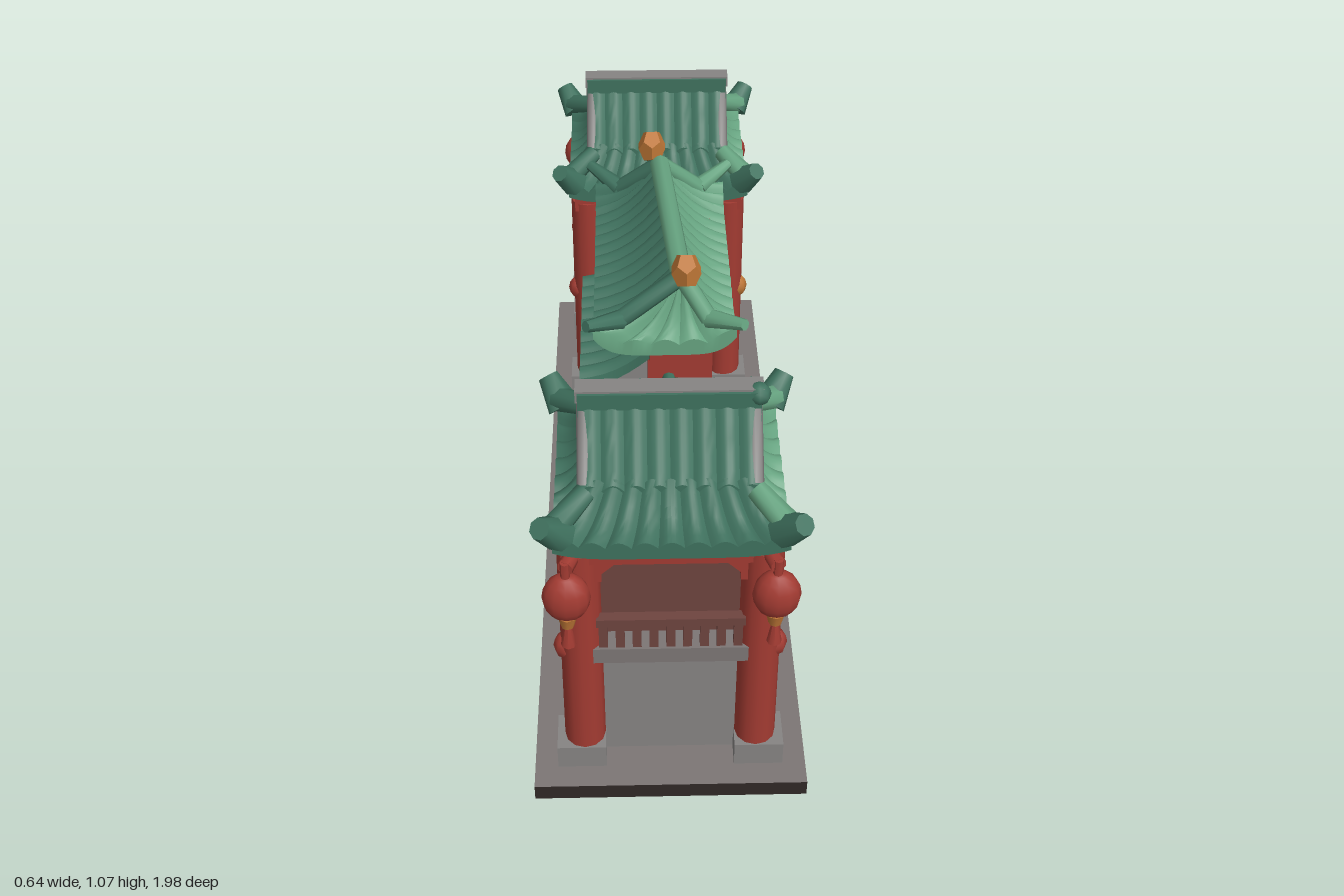
import * as THREE from 'three';
import { toCreasedNormals } from 'three/addons/utils/BufferGeometryUtils.js';

const mat = (name, color) => {
  const m = new THREE.MeshStandardMaterial({ color, side: THREE.DoubleSide });
  m.name = name;
  return m;
};
const V = (x, y, z) => new THREE.Vector3(x, y, z);

export function createModel() {
  const red = mat('lacquer red', 0xa23b32), brown = mat('shaded brown', 0x6e443f);
  const gold = mat('gold', 0xbd7636), green = mat('tile green', 0x3f715e);
  const jade = mat('light tile green', 0x66a380), stone = mat('stone grey', 0x868483);
  const paving = mat('paving grey', 0x7c7675);
  const dark = mat('dark base', 0x302826), umber = mat('umber base edge', 0x4c3633);
  const model = new THREE.Group();

  const add = (parent, name, geo, m, x = 0, y = 0, z = 0) => {
    const mesh = new THREE.Mesh(geo, m);
    mesh.name = name;
    mesh.position.set(x, y, z);
    parent.add(mesh);
    return mesh;
  };
  const group = (parent, name, x = 0, y = 0, z = 0) => {
    const g = new THREE.Group();
    g.name = name;
    g.position.set(x, y, z);
    parent.add(g);
    return g;
  };
  // box from its lower face y0 to its upper face y1
  const box = (p, name, m, x, y0, y1, z, w, d) =>
    add(p, name, new THREE.BoxGeometry(w, y1 - y0, d), m, x, (y0 + y1) / 2, z);
  // round bar between two points
  const bar = (p, name, m, a, b, r0, r1 = r0) => {
    const dir = b.clone().sub(a), mid = a.clone().add(b).multiplyScalar(0.5);
    const geo = toCreasedNormals(new THREE.CylinderGeometry(r1, r0, dir.length(), 8), 1);
    const mesh = add(p, name, geo, m, mid.x, mid.y, mid.z);
    mesh.quaternion.setFromUnitVectors(V(0, 1, 0), dir.normalize());
    return mesh;
  };

  // ribbed, sagging roof slope: a-b is the upper edge, c-d the eave below it
  const slope = (p, name, m, a, b, c, d, ribs, { sag = 0.02, lift = 0, t = 0.03 } = {}) => {
    const nu = ribs * 6, nv = 6, pos = [], idx = [];
    const rows = 2 * (nv + 1);
    for (let j = 0; j < rows; j++) {
      const under = j > nv, v = (under ? rows - 1 - j : j) / nv;
      for (let i = 0; i <= nu; i++) {
        const u = i / nu;
        const q = a.clone().lerp(b, u).lerp(c.clone().lerp(d, u), v);
        q.y += -sag * Math.sin(Math.PI * v) + lift * v * v * Math.abs(2 * u - 1) ** 5;
        q.y += under ? -t : 0.016 * Math.abs(Math.sin(Math.PI * ribs * u));
        pos.push(q.x, q.y, q.z);
        if (i < nu && j < rows - 1) {
          const k = j * (nu + 1) + i, n = k + nu + 1;
          idx.push(k, n, k + 1, k + 1, n, n + 1);
        }
      }
    }
    const geo = new THREE.BufferGeometry();
    geo.setAttribute('position', new THREE.Float32BufferAttribute(pos, 3));
    geo.setIndex(idx);
    return add(p, name, toCreasedNormals(geo, 0.7), m);
  };

  // upright panel standing on y = 0 with a round or chamfered opening
  const archPanel = (w, h, ow, oh, depth, round) => {
    const s = new THREE.Shape(), o = ow / 2, c = round ? o : Math.min(0.05, oh * 0.6);
    s.moveTo(-w / 2, 0).lineTo(-o, 0).lineTo(-o, oh - c);
    if (round) s.absarc(0, oh - c, o, Math.PI, 0, true);
    else s.lineTo(-o + c, oh).lineTo(o - c, oh).lineTo(o, oh - c);
    s.lineTo(o, 0).lineTo(w / 2, 0).lineTo(w / 2, h).lineTo(-w / 2, h).closePath();
    return new THREE.ExtrudeGeometry(s, { depth, bevelEnabled: false, curveSegments: 8 })
      .translate(0, 0, -depth / 2);
  };

  const lantern = (p, x, y, z, r, rz) => {
    const g = group(p, 'lantern', x, y, z);
    add(g, 'lanternBody', new THREE.SphereGeometry(r, 12, 8), red).scale.set(1, 1.2, rz / r);
    bar(g, 'lanternCord', red, V(0, r, 0), V(0, r * 1.9, 0), r * 0.2);
    bar(g, 'lanternCap', gold, V(0, -r * 1.65, 0), V(0, -r * 1.05, 0), r * 0.28, r * 0.42);
    bar(g, 'tassel', red, V(0, -r * 2.75, 0), V(0, -r * 1.65, 0), r * 0.32, r * 0.14);
  };

  // ground slab, material order +x -x +y -y +z -z
  add(model, 'baseSlab', new THREE.BoxGeometry(0.64, 0.043, 1.97),
    [paving, umber, paving, dark, dark, umber], 0, 0.0215, 0);

  // railing of balusters along local x
  const railing = (p, w, n, m) => {
    box(p, 'handrail', m, 0, 0.5, 0.522, 0, w, 0.025);
    for (let i = 0; i < n; i++)
      box(p, 'baluster', m, (i / (n - 1) - 0.5) * (w - 0.03), 0.43, 0.5, 0, 0.02, 0.018);
  };

  const tower = (s) => {
    const t = group(model, s > 0 ? 'frontTower' : 'backTower', 0, 0, s * 0.71);
    box(t, 'core', brown, 0, 0.043, 0.74, 0, 0.3, 0.26);
    box(t, 'eaveBeam', red, 0, 0.695, 0.75, 0, 0.47, 0.41);
    for (const x of [-0.2, 0.2]) for (const z of [-0.167, 0.167]) {
      box(t, 'columnFoot', stone, x * 1.04, 0.043, 0.11, z, 0.115, 0.1);
      add(t, 'column', new THREE.CylinderGeometry(0.046, 0.048, 0.62, 12), red, x, 0.41, z);
      const inner = x > 0 && z * s < 0;
      add(t, 'columnKnob', new THREE.SphereGeometry(0.03, 8, 6), inner ? gold : red, x * 1.17, 0.41, z)
        .scale.y = 1.2;
    }
    // front and back faces
    for (const k of [-1, 1]) {
      const f = group(t, 'endFace', 0, 0, k * 0.15);
      box(f, 'stoneWall', stone, 0, 0.043, 0.39, -k * 0.005, 0.34, 0.03);
      box(f, 'upperWall', brown, 0, 0.43, 0.7, -k * 0.01, 0.36, 0.02);
      box(f, 'ledge', paving, 0, 0.388, 0.432, k * 0.025, 0.36, 0.06);
      const r = group(f, 'railing', 0, 0, k * 0.04);
      railing(r, 0.33, 9, brown);
      add(f, 'spandrel', archPanel(0.33, 0.1, 0.3, 0.055, 0.04, false), red, 0, 0.64, k * 0.03);
    }
    // long faces with arch, balcony and lattice window
    for (const k of [-1, 1]) {
      const f = group(t, 'sideFace', k * 0.18);
      f.rotation.y = k * Math.PI / 2;
      add(f, 'stoneArch', archPanel(0.28, 0.35, 0.21, 0.31, 0.06, true), stone, 0, 0.043, 0);
      box(f, 'ledge', paving, 0, 0.388, 0.432, 0.03, 0.36, 0.08);
      const r = group(f, 'railing', 0, 0, 0.05);
      railing(r, 0.26, 6, k > 0 ? gold : brown);
      add(f, 'windowFrame', archPanel(0.26, 0.27, 0.17, 0.23, 0.05, false),
        k > 0 ? gold : red, 0, 0.432, -0.005);
      box(f, 'windowBacking', brown, 0, 0.432, 0.7, -0.025, 0.25, 0.02);
      if (k < 0) box(f, 'archInfill', stone, 0, 0.043, 0.36, -0.02, 0.22, 0.02);
      for (const x of [-0.072, -0.024, 0.024, 0.072])
        box(f, 'latticeBar', red, x, 0.45, 0.655, -0.004, 0.023, 0.02);
      for (const y of [0.535, 0.58, 0.625])
        box(f, 'latticeRail', red, 0, y, y + 0.02, -0.002, 0.165, 0.02);
    }
    // ribbed skirt roof and steep gabled roof
    const ix = 0.175, iz = 0.13, ox = 0.25, oz = 0.235, yi = 0.855, yo = 0.77;
    for (const k of [-1, 1]) {
      const tile = k > 0 ? jade : green;
      slope(t, 'skirtRoof', green, V(-ix, yi, k * iz), V(ix, yi, k * iz),
        V(-ox, yo, k * oz), V(ox, yo, k * oz), 9, { lift: 0.02 });
      slope(t, 'sideSkirtRoof', tile, V(k * ix, yi, -iz), V(k * ix, yi, iz),
        V(k * ox, yo, -oz), V(k * ox, yo, oz), 8, { lift: 0.03 });
      slope(t, 'upperRoof', green, V(-0.195, 1, 0), V(0.195, 1, 0),
        V(-0.195, 0.845, k * 0.14), V(0.195, 0.845, k * 0.14), 8, { sag: 0.008 });
      const tri = new THREE.Shape().moveTo(-0.14, 0).lineTo(0.14, 0).lineTo(0, 0.15);
      const gable = add(t, 'gable', new THREE.ExtrudeGeometry(tri, { depth: 0.02, bevelEnabled: false }),
        paving, k * 0.165, 0.84, 0);
      gable.rotation.y = k * Math.PI / 2;
      for (const z of [-1, 1]) {
        bar(t, 'gableTrim', stone, V(k * 0.18, 0.98, 0), V(k * 0.18, 0.85, z * 0.125), 0.018);
        bar(t, 'cornerHorn', tile, V(k * 0.18, 0.85, z * 0.145),
          V(k * 0.25, 0.81, z * 0.22), 0.024, 0.03);
        bar(t, 'hornTip', green, V(k * 0.235, 0.795, z * 0.21),
          V(k * 0.272, 0.85, z * 0.255), 0.04, 0.024);
      }
      lantern(t, k * 0.225, 0.635, s * 0.238, 0.053, 0.04);
      bar(t, 'lanternArm', red, V(k * 0.2, 0.72, s * 0.17), V(k * 0.225, 0.72, s * 0.24), 0.018);
    }
    box(t, 'ridge', stone, 0, 0.99, 1.02, 0, 0.4, 0.045);
    for (const k of [-1, 1])
      box(t, 'ridgeFacing', green, 0, 0.975, 1.015, k * 0.025, 0.39, 0.008);
    // pale tiles where the roof has weathered
    if (s < 0) slope(t, 'paleTile', jade, V(0, 1.003, 0), V(0.049, 1.003, 0),
      V(0, 0.85, -0.142), V(0.049, 0.85, -0.142), 1, { sag: 0.008 });
    else {
      add(t, 'ridgeKnob', new THREE.SphereGeometry(0.026, 8, 6), green, 0.19, 1, 0.01);
      for (const x of [-0.02, 0.08])
        slope(t, 'paleTile', jade, V(x, 0.805, -0.19), V(x + 0.055, 0.805, -0.19),
          V(x, 0.775, -0.238), V(x + 0.055, 0.775, -0.238), 1, { sag: 0 });
    }
  };
  [-1, 1].forEach(tower);

  // low links between the towers and the main gate
  for (const s of [-1, 1]) {
    const l = group(model, 'link', 0, 0, s * 0.41);
    for (const k of [-1, 1]) {
      slope(l, 'linkRoof', green, V(0.01, 0.71, -0.11), V(0.01, 0.71, 0.11),
        V(k * 0.16, 0.63, -0.11), V(k * 0.16, 0.63, 0.11), 5, { lift: 0.015 });
      box(l, 'linkPanel', k > 0 ? gold : brown, k * 0.085, 0.545, 0.615, 0, 0.03, 0.17);
      box(l, 'linkRail', red, k * 0.085, 0.49, 0.52, 0, 0.035, 0.24);
      for (const z of [-0.06, 0, 0.06])
        box(l, 'linkPost', red, k * 0.085, 0.5, 0.64, z, 0.035, 0.02);
      lantern(l, k * 0.105, 0.36, s * 0.05, 0.04, 0.04);
    }
    bar(l, 'linkRidge', green, V(0.01, 0.72, -0.11), V(0.01, 0.72, 0.11), 0.016);
    box(l, 'linkCeiling', red, 0, 0.61, 0.65, 0, 0.2, 0.22);
    box(l, 'linkBeam', red, 0.0, 0.405, 0.432, 0, 0.22, 0.24);
    box(l, 'beamTrim', gold, 0.113, 0.412, 0.426, 0, 0.008, 0.14);
  }

  // main gate
  const gate = group(model, 'mainGate', 0.03);
  for (const s of [-1, 1]) {
    const z = s * 0.262;
    box(gate, 'pillarFoot', stone, 0.015, 0.043, 0.11, z, 0.25, 0.115);
    box(gate, 'pillar', red, 0.01, 0.1, 0.85, z, 0.15, 0.078);
    add(gate, 'pillarDrum', new THREE.SphereGeometry(0.042, 10, 8), red, 0.1, 0.145, z);
    add(gate, 'pillarKnob', new THREE.SphereGeometry(0.022, 8, 6), gold, 0.085, 0.44, z);
    // curved corner bracket under the crossbeam
    const c = new THREE.Shape().moveTo(0, 0).lineTo(0.09, 0)
      .quadraticCurveTo(0.07, -0.05, 0, -0.06).closePath();
    const b = add(gate, 'bracket', new THREE.ExtrudeGeometry(c, { depth: 0.1, bevelEnabled: false }),
      red, s > 0 ? -0.04 : 0.06, 0.6, s * 0.225);
    b.rotation.y = s * Math.PI / 2;
    bar(gate, 'trussStrut', red, V(0.03, 0.755, s * 0.01), V(0.03, 0.83, s * 0.06), 0.012);
    for (const q of [0.13, 0.2])
      bar(gate, 'trussPost', red, V(0.03, 0.75, s * q), V(0.03, 0.84, s * q), 0.012);
  }
  box(gate, 'crossbeam', red, 0.01, 0.565, 0.61, 0, 0.11, 0.46);
  box(gate, 'infill', red, 0.01, 0.6, 0.765, 0, 0.06, 0.46);
  box(gate, 'eaveBeam', red, 0, 0.82, 0.86, 0, 0.2, 0.56);
  box(gate, 'plaqueFrame', red, 0.055, 0.585, 0.77, 0, 0.04, 0.335);
  box(gate, 'plaque', gold, 0.075, 0.595, 0.762, 0, 0.03, 0.315);

  // main gate roof
  const roof = group(model, 'mainRoof');
  const top = (s, z = 0.26) => V(0.02 + s * 0.02, 0.99, s * z);
  const eave = (k, s, z = 0.33) => V(k * 0.17, 0.84, s * z);
  for (const k of [-1, 1]) {
    const tile = k > 0 ? jade : green;
    slope(roof, 'mainSlope', tile, top(-1, 0.24), top(1, 0.24), eave(k, -1, 0.24), eave(k, 1, 0.24),
      10, { sag: 0.03 });
    slope(roof, 'hipEnd', tile, top(k), top(k), eave(-1, k), eave(1, k), 5, { lift: 0.05, sag: 0.03 });
    for (const s of [-1, 1]) {
      const mid = V(k * 0.105, 0.895, s * 0.3), corner = eave(k, s);
      corner.y += 0.05;
      slope(roof, 'hipFlare', tile, top(s, 0.24), top(s), eave(k, s, 0.235), corner, 3, { sag: 0.03 });
      bar(roof, 'hipRidge', tile, top(s), mid, 0.022);
      bar(roof, 'hipHorn', tile, mid, V(k * 0.185, 0.925, s * 0.37), 0.024, 0.014);
    }
    const o = add(roof, 'ridgeOrnament', new THREE.DodecahedronGeometry(0.046), gold,
      0.015 + k * 0.035, 1.025, k * 0.29);
    o.scale.set(0.8, 1, 0.95);
  }
  bar(roof, 'mainRidge', jade, top(-1), top(1), 0.026);
  // lower canopy on one side of the gate
  slope(roof, 'lowerCanopy', green, V(-0.03, 0.755, -0.225), V(-0.03, 0.755, 0.225),
    V(-0.21, 0.66, -0.225), V(-0.21, 0.66, 0.225), 9);
  return model;
}
